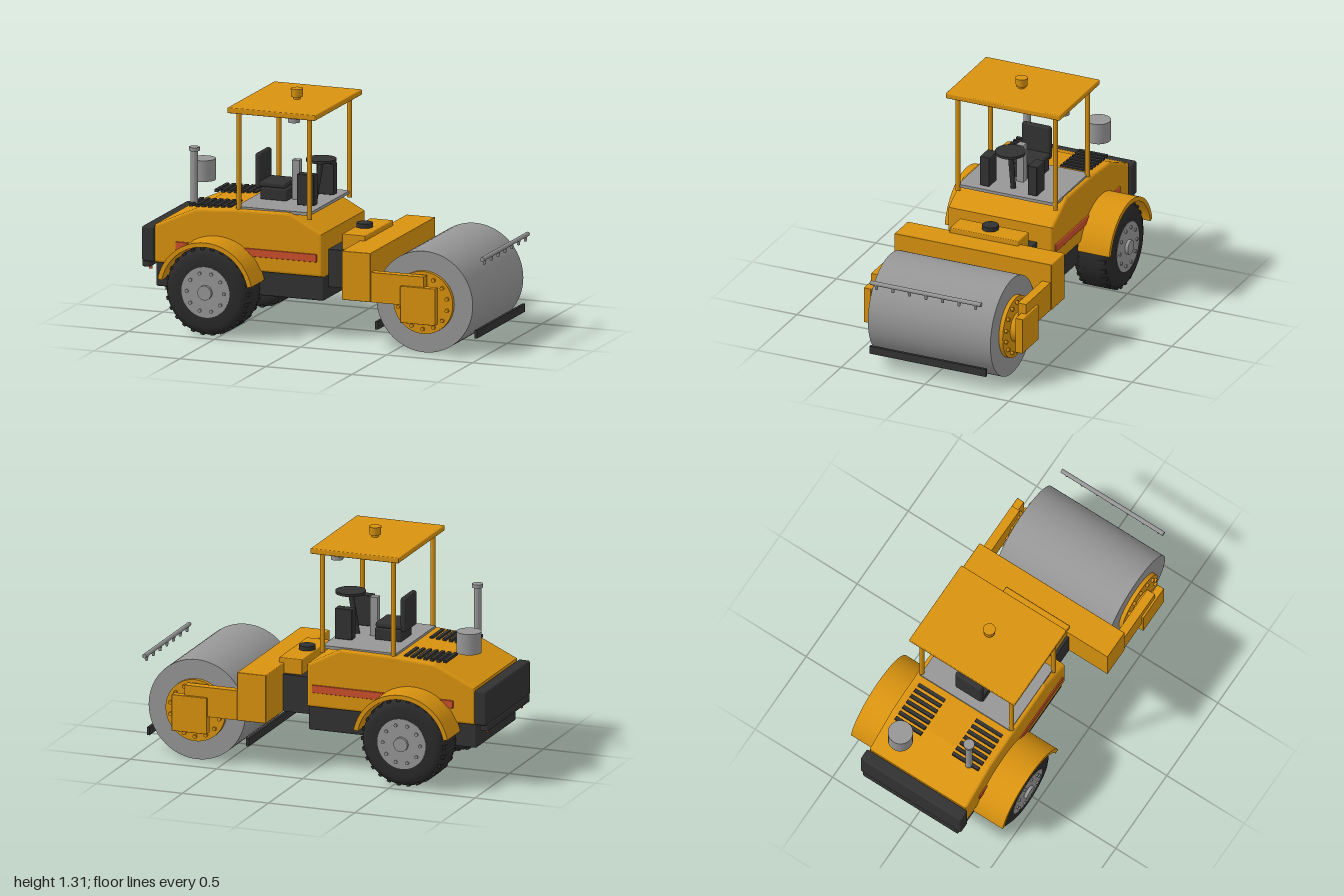
import * as THREE from 'three';
import { RoundedBoxGeometry } from 'three/addons/geometries/RoundedBoxGeometry.js';

const mat = (name, color) => {
  const m = new THREE.MeshStandardMaterial({ color });
  m.name = name;
  return m;
};

export function createModel() {
  const yellow = mat('yellow paint', 0xd8920f);
  const grey = mat('grey metal', 0x969696);
  const dark = mat('dark trim', 0x323232);
  const rubber = mat('black rubber', 0x2a2a2a);
  const red = mat('red stripe', 0xcc4f2b);

  const model = new THREE.Group();
  model.name = 'roadRoller';

  const add = (name, geo, material, x = 0, y = 0, z = 0, parent = model) => {
    const m = new THREE.Mesh(geo, material);
    m.name = name;
    m.position.set(x, y, z);
    parent.add(m);
    return m;
  };
  // Box given by its minimum and maximum on each axis, optionally rounded
  const box = (name, material, [x0, x1], [y0, y1], [z0, z1], r = 0) => {
    const s = [x1 - x0, y1 - y0, z1 - z0];
    const geo = r ? new RoundedBoxGeometry(...s, 2, r) : new THREE.BoxGeometry(...s);
    return add(name, geo, material, (x0 + x1) / 2, (y0 + y1) / 2, (z0 + z1) / 2);
  };
  // Upright cylinder between two heights
  const post = (name, material, x, z, y0, y1, r, rBottom = r) =>
    add(name, new THREE.CylinderGeometry(r, rBottom, y1 - y0, 28), material, x, (y0 + y1) / 2, z);
  // Cylinder lying across the machine between two z values
  const axle = (name, material, x, y, z0, z1, r, seg = 32, parent = model) => {
    const m = add(name, new THREE.CylinderGeometry(r, r, Math.abs(z1 - z0), seg), material, x, y, (z0 + z1) / 2, parent);
    m.rotation.x = Math.PI / 2;
    return m;
  };
  const span = (s, a, b) => (s > 0 ? [a, b] : [-b, -a]);

  // Chassis and bevelled engine hood
  box('chassis', dark, [-0.925, 0.05], [0.215, 0.37], [-0.29, 0.29], 0.01);
  const b = 0.015;
  const hood = new THREE.Shape([
    [-0.925, 0.35], [0.05, 0.35], [0.05, 0.59], [-0.14, 0.69],
    [-0.45, 0.685], [-0.69, 0.668], [-0.925, 0.56],
  ].map(p => new THREE.Vector2(...p)));
  add('body', new THREE.ExtrudeGeometry(hood, {
    depth: 0.626 - 2 * b, bevelThickness: b, bevelSize: b, bevelOffset: -b, bevelSegments: 3,
  }), yellow, 0, 0, -0.313 + b);

  // Hood vents
  for (const s of [-1, 1])
    for (let i = 0; i < 7; i++) {
      const x = -0.732 + i * 0.0374;
      box('vent', dark, [x - 0.01, x + 0.01], [0.668, 0.683 + i * 0.001], span(s, 0.1, 0.27));
    }

  // Rear counterweight, bumper and tail lights
  box('rearCounterweight', dark, [-0.995, -0.925], [0.355, 0.55], [-0.325, 0.325], 0.012);
  box('rearBumper', dark, [-1, -0.95], [0.32, 0.366], [-0.31, 0.31], 0.012);
  for (const s of [-1, 1]) post('tailLight', red, -0.972, s * 0.25, 0.3, 0.325, 0.009);

  // Exhaust and air cleaner
  post('exhaustPipe', grey, -0.735, 0.207, 0.66, 0.965, 0.02);
  post('exhaustCap', grey, -0.735, 0.207, 0.965, 0.985, 0.03);
  post('airCleaner', grey, -0.835, -0.17, 0.715, 0.832, 0.068);

  // Cab floor, posts, roof and beacon
  box('cabFloor', grey, [-0.46, -0.03], [0.68, 0.697], [-0.29, 0.29]);
  for (const s of [-1, 1]) {
    for (const x of [-0.443, -0.033]) post('cabPost', yellow, x, s * 0.29, 0.66, 1.225, 0.0135);
    post('workLight', grey, -0.12, s * 0.298, 1.195, 1.221, 0.033);
  }
  box('roof', yellow, [-0.492, 0.02], [1.22, 1.251], [-0.34, 0.34], 0.006);
  post('beaconBase', yellow, -0.222, 0, 1.25, 1.266, 0.02);
  post('beacon', yellow, -0.222, 0, 1.264, 1.309, 0.034, 0.031);

  // Seat
  box('seatBase', dark, [-0.405, -0.25], [0.695, 0.762], [-0.08, 0.08], 0.008);
  box('seatCushion', dark, [-0.415, -0.255], [0.765, 0.797], [-0.085, 0.085], 0.012);
  box('seatBack', dark, [-0.433, -0.4], [0.755, 0.95], [-0.086, 0.086], 0.014);

  // Controls
  box('consolePost', grey, [-0.243, -0.2], [0.69, 0.915], [-0.021, 0.021]);
  for (const s of [-1, 1]) box('controlBox', dark, [-0.155, -0.055], [0.705, 0.877], span(s, 0.115, 0.17), 0.004);
  const column = post('steeringColumn', dark, -0.1, 0, 0.69, 0.925, 0.015);
  column.rotation.z = -0.17;
  post('steeringWheel', dark, -0.08, 0, 0.919, 0.933, 0.083);

  // Side stripes
  for (const s of [-1, 1]) box('sideStripe', red, [-0.8, 0.02], [0.433, 0.477], span(s, 0.3, 0.32), 0.004);

  // Rear wheels and fenders, sharing one set of geometry
  const wheelX = -0.563, wheelY = 0.25;
  const tyreGeo = new THREE.LatheGeometry([
    [0.13, -0.11], [0.145, -0.112], [0.195, -0.112], [0.222, -0.1], [0.24, -0.075],
    [0.243, -0.05], [0.243, 0.05], [0.24, 0.075], [0.222, 0.1], [0.195, 0.112],
    [0.145, 0.112], [0.13, 0.11],
  ].map(p => new THREE.Vector2(...p)), 56);
  const lugGeo = new THREE.BoxGeometry(0.02, 0.022, 0.05);
  const arch = new THREE.Shape();
  arch.absarc(0, 0, 0.278, 0.2, Math.PI - 0.2, false);
  arch.absarc(0, 0, 0.253, Math.PI - 0.2, 0.2, true);
  const fenderGeo = new THREE.ExtrudeGeometry(arch, { depth: 0.19, bevelEnabled: false, curveSegments: 32 });
  for (const s of [-1, 1]) {
    const wheel = new THREE.Group();
    wheel.name = 'rearWheel';
    wheel.position.set(wheelX, wheelY, s * 0.361);
    model.add(wheel);
    add('tyre', tyreGeo, rubber, 0, 0, 0, wheel).rotation.x = Math.PI / 2;
    for (let i = 0; i < 26; i++) {
      const a = (i / 26) * Math.PI * 2;
      for (const e of [-1, 1])
        add('treadLug', lugGeo, rubber, Math.cos(a) * 0.232, Math.sin(a) * 0.232, e * 0.065, wheel).rotation.z = a + Math.PI / 2;
    }
    axle('rim', grey, 0, 0, -0.1, s * 0.113, 0.14, 40, wheel);
    axle('hub', grey, 0, 0, 0, s * 0.131, 0.04, 24, wheel);
    for (let i = 0; i < 10; i++) {
      const a = (i / 10) * Math.PI * 2;
      axle('wheelBolt', grey, Math.cos(a) * 0.108, Math.sin(a) * 0.108, s * 0.1, s * 0.121, 0.01, 8, wheel);
    }
    add('fender', fenderGeo, yellow, wheelX, wheelY, s > 0 ? 0.3 : -0.49);
  }

  // Articulated joint
  box('jointBlock', dark, [0.04, 0.23], [0.28, 0.488], [-0.22, 0.22]);
  box('jointTongue', yellow, [0.122, 0.256], [0.488, 0.576], [-0.205, 0.205], 0.005);
  post('jointPin', dark, 0.172, 0, 0.226, 0.6, 0.045);

  // Drum yoke
  box('yokeBeam', yellow, [0.226, 0.394], [0.277, 0.548], [-0.468, 0.468], 0.004);
  for (const s of [-1, 1]) {
    box('yokeArm', yellow, [0.39, 0.7], [0.277, 0.442], span(s, 0.412, 0.462));
    box('yokePlate', yellow, [0.568, 0.772], [0.18, 0.385], span(s, 0.43, 0.474), 0.004);
  }

  // Drum with bolted end flanges
  const dx = 0.667, dy = 0.282;
  axle('drum', grey, dx, dy, -0.365, 0.365, 0.28, 72);
  for (const s of [-1, 1]) {
    axle('drumFlange', yellow, dx, dy, s * 0.36, s * 0.388, 0.173, 48);
    axle('drumBearing', yellow, dx, dy, s * 0.38, s * 0.44, 0.08);
    for (let i = 0; i < 14; i++) {
      const a = ((i + 0.5) / 14) * Math.PI * 2;
      axle('flangeBolt', yellow, dx + Math.cos(a) * 0.145, dy + Math.sin(a) * 0.145, s * 0.38, s * 0.402, 0.011, 8);
    }
  }

  // Scrapers and water spray bar
  for (const x of [0.381, 0.957]) box('scraper', dark, [x - 0.008, x + 0.008], [0.1, 0.144], [-0.347, 0.347]);
  axle('sprayBar', grey, 0.987, 0.536, -0.33, 0.33, 0.012, 16);
  for (let i = -3; i <= 3; i++) post('sprayNozzle', grey, 0.987, i * 0.0985, 0.503, 0.53, 0.011, 0.007);

  return model;
}
